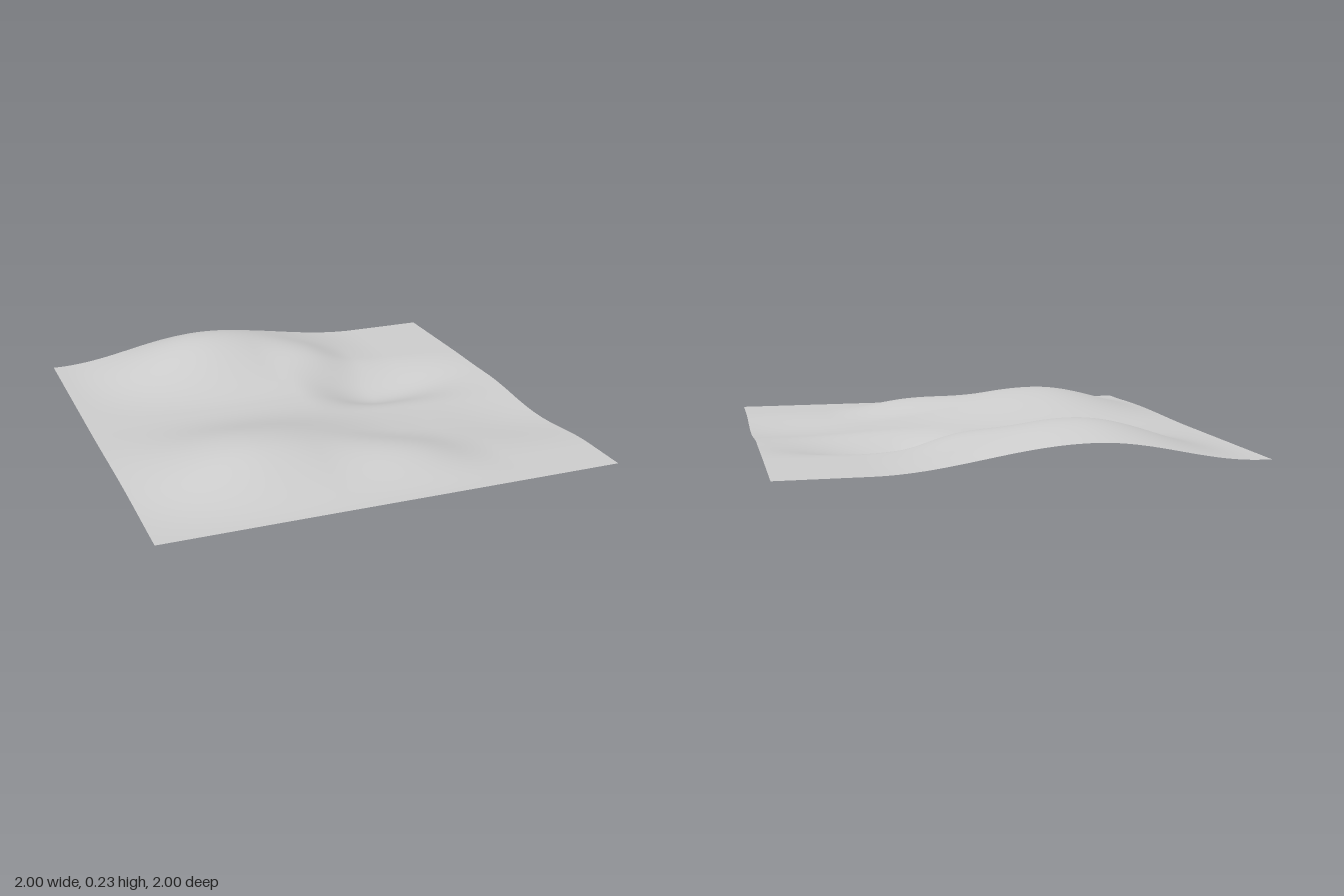
import * as THREE from 'three';

// Hills and hollows: centre x, z; height; reach to -x, +x, -z, +z
const features = [
  [-0.25, -0.75, 0.155, 0.72, 0.88, 0.585, 0.58], // back hill
  [-0.43, 0.51, 0.122, 0.68, 0.90, 0.64, 0.51], // front hill
  [0.22, 0.68, 0.043, 0.42, 0.38, 0.32, 0.30], // low shoulder of the front hill
  [0.21, -0.55, 0.025, 0.28, 0.24, 0.28, 0.26], // spur above the hollow
  [0.41, -0.22, -0.080, 0.38, 0.68, 0.33, 0.32], // deep hollow
  [0.87, 0.33, -0.036, 0.60, 0.60, 0.50, 0.45], // shallow basin at the side
];
const BASE = 0.08;

// Smooth bell that falls to zero at its reach, with a different reach each way
function bell(d, before, after) {
  const t = Math.abs(d) / (d < 0 ? before : after);
  return t >= 1 ? 0 : Math.cos(t * Math.PI / 2) ** 2;
}

function heightAt(x, z) {
  let y = BASE;
  for (const [cx, cz, h, x0, x1, z0, z1] of features) {
    y += h * bell(x - cx, x0, x1) * bell(z - cz, z0, z1);
  }
  return Math.max(y, 0);
}

export function createModel() {
  const group = new THREE.Group();
  group.name = 'landscape';

  // Thin square sheet lifted into rolling ground
  const geometry = new THREE.PlaneGeometry(2, 2, 100, 100);
  geometry.rotateX(-Math.PI / 2);
  const pos = geometry.attributes.position;
  for (let i = 0; i < pos.count; i++) {
    pos.setY(i, heightAt(pos.getX(i), pos.getZ(i)));
  }
  geometry.computeVertexNormals();

  const terrain = new THREE.Mesh(
    geometry,
    new THREE.MeshStandardMaterial({ color: 0xcccccc, side: THREE.DoubleSide })
  );
  terrain.name = 'terrain';
  group.add(terrain);
  return group;
}
